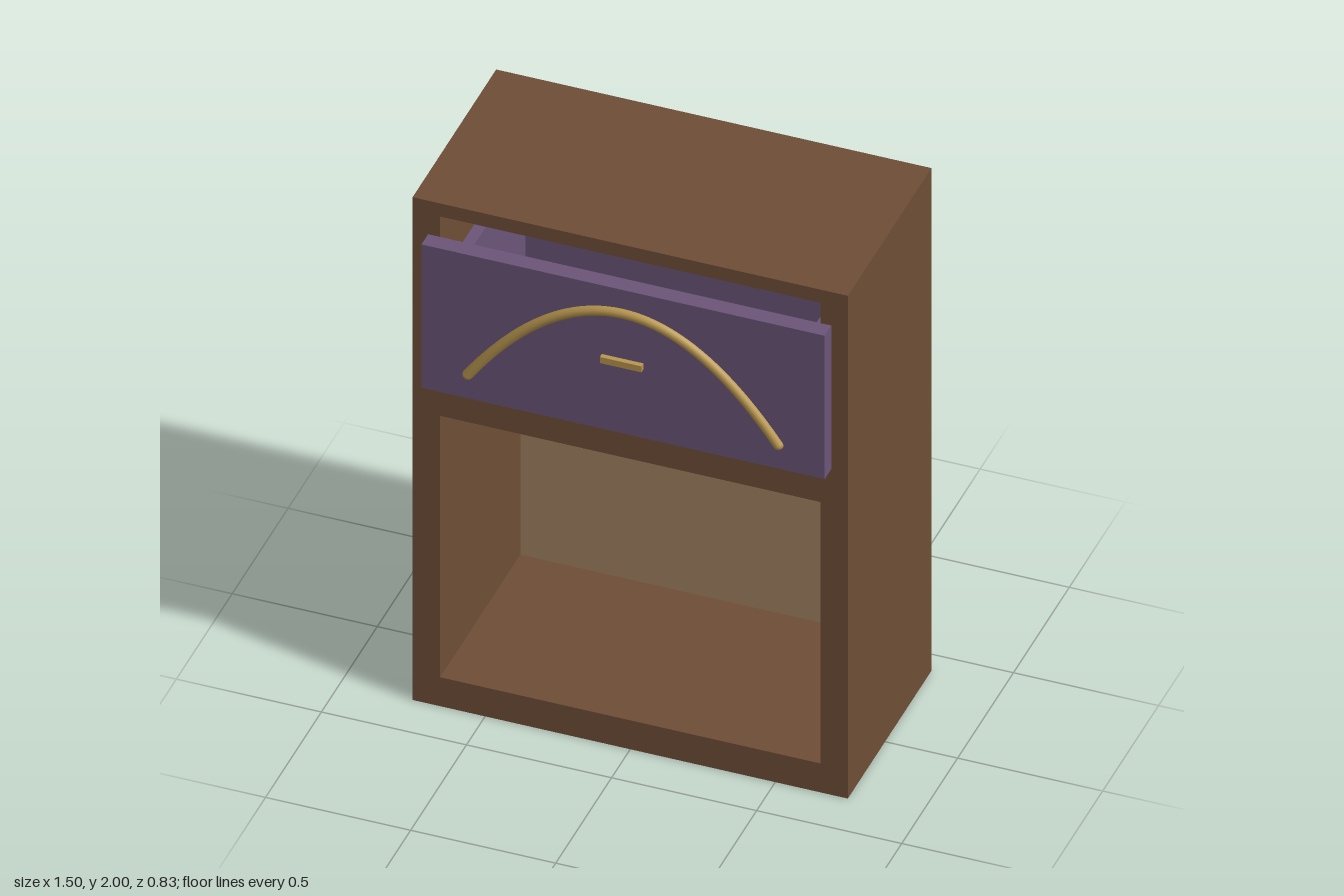
import * as THREE from 'three';

const mat = (name, color, side = THREE.FrontSide) => {
  const m = new THREE.MeshStandardMaterial({ color, side });
  m.name = name;
  return m;
};

export function createModel() {
  const brown = mat('brown wood', 0x6f4e37);
  const tan = mat('tan back wood', 0xa38463);
  const purple = mat('purple paint', 0x6b5579);
  const brass = mat('brass', 0xb8964f);

  const model = new THREE.Group();
  model.name = 'cabinet';

  // Box given by its minimum and maximum corners
  const box = (parent, name, material, [x0, y0, z0], [x1, y1, z1]) => {
    const mesh = new THREE.Mesh(new THREE.BoxGeometry(x1 - x0, y1 - y0, z1 - z0), material);
    mesh.position.set((x0 + x1) / 2, (y0 + y1) / 2, (z0 + z1) / 2);
    mesh.name = name;
    parent.add(mesh);
    return mesh;
  };

  const back = -0.415, front = 0.333, inner = 0.655;

  // Carcass
  const carcass = new THREE.Group();
  carcass.name = 'carcass';
  model.add(carcass);
  box(carcass, 'leftSide', brown, [inner, 0, back], [0.75, 2, front]);
  box(carcass, 'rightSide', brown, [-0.75, 0, back], [-inner, 2, front]);
  box(carcass, 'top', brown, [-inner, 1.948, back], [inner, 2, front]);
  box(carcass, 'bottom', brown, [-inner, 0, back], [inner, 0.115, front]);
  box(carcass, 'shelf', brown, [-inner, 1.155, back + 0.03], [inner, 1.25, front]);

  // Back panel, with a narrow slot left open above its rail
  box(carcass, 'backPanel', tan, [-0.68, 0.115, back - 0.001], [0.68, 1.922, back + 0.03]);
  box(carcass, 'backRail', brown, [-inner, 1.922, back], [inner, 1.936, back + 0.03]);

  // Drawer, slightly proud of the carcass
  const drawer = new THREE.Group();
  drawer.name = 'drawer';
  model.add(drawer);
  box(drawer, 'drawerFront', purple, [-0.695, 1.3, 0.337], [0.695, 1.87, 0.397]);
  for (const s of [-1, 1]) {
    const xs = [s * 0.59, s * 0.63].sort((a, b) => a - b);
    box(drawer, 'drawerSide', purple, [xs[0], 1.3, -0.3], [xs[1], 1.76, 0.337]);
  }
  box(drawer, 'drawerBack', purple, [-0.59, 1.3, -0.3], [0.59, 1.76, -0.26]);
  box(drawer, 'drawerBottom', purple, [-0.59, 1.3, -0.26], [0.59, 1.34, 0.337]);

  // Brass runners under the drawer
  for (const x of [-0.417, 0.417]) {
    box(drawer, 'runner', brass, [x - 0.098, 1.265, -0.2], [x + 0.098, 1.3, 0.32]);
  }

  // Arched handle
  const arch = new THREE.QuadraticBezierCurve3(
    new THREE.Vector3(-0.535, 1.395, 0.397),
    new THREE.Vector3(0, 2.16, 0.397),
    new THREE.Vector3(0.535, 1.395, 0.397));
  const handle = new THREE.Mesh(new THREE.TubeGeometry(arch, 48, 0.018, 12), brass);
  handle.name = 'archedHandle';
  drawer.add(handle);
  for (const p of [arch.v0, arch.v2]) {
    const end = new THREE.Mesh(new THREE.SphereGeometry(0.018, 12, 8), brass);
    end.position.copy(p);
    end.name = 'handleEnd';
    drawer.add(end);
  }

  // Small pull below the arch
  box(drawer, 'smallPull', brass, [-0.073, 1.573, 0.395], [0.07, 1.597, 0.415]);

  return model;
}
